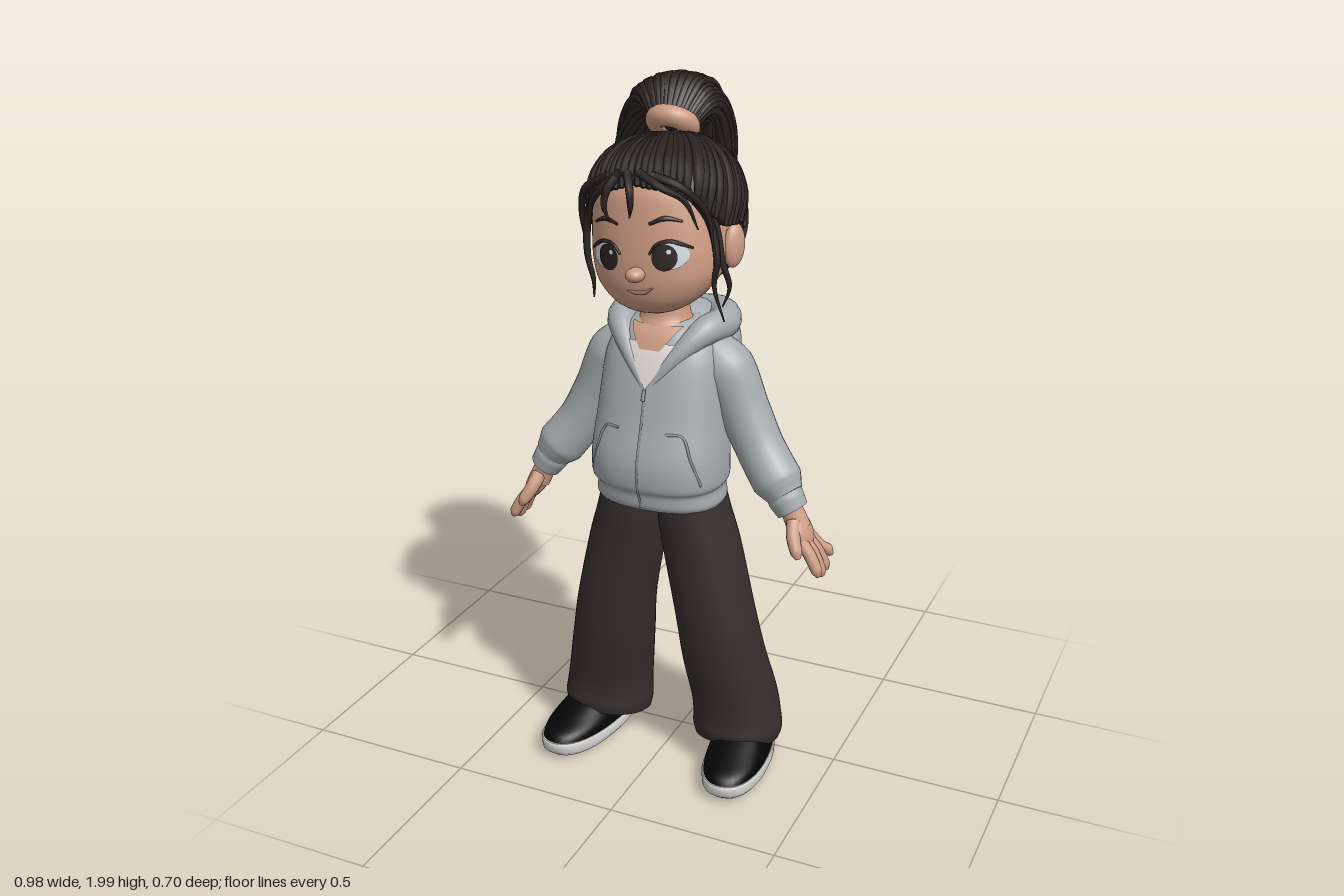
import * as THREE from 'three';

const mat = (name, color, side = THREE.FrontSide) => {
  const m = new THREE.MeshStandardMaterial({ color, side });
  m.name = name;
  return m;
};
const V = (x, y, z) => new THREE.Vector3(x, y, z);
const lerp = THREE.MathUtils.lerp;

// Grid surface from rows of points; outside is (along row) x (across rows).
function surface(rows, closed = false, caps = false) {
  const n = rows[0].length, pos = [], idx = [];
  rows.forEach(r => r.forEach(p => pos.push(p.x, p.y, p.z)));
  const m = closed ? n : n - 1;
  for (let j = 0; j < rows.length - 1; j++) for (let i = 0; i < m; i++) {
    const a = j * n + i, b = j * n + (i + 1) % n, c = a + n, d = b + n;
    idx.push(a, b, c, b, d, c);
  }
  if (caps) [rows[0], rows[rows.length - 1]].forEach((r, k) => {
    const o = pos.length / 3, mid = V(0, 0, 0);
    r.forEach(p => { pos.push(p.x, p.y, p.z); mid.addScaledVector(p, 1 / n); });
    pos.push(mid.x, mid.y, mid.z);
    for (let i = 0; i < n; i++) {
      const a = o + i, b = o + (i + 1) % n;
      idx.push(o + n, k ? a : b, k ? b : a);
    }
  });
  const g = new THREE.BufferGeometry();
  g.setAttribute('position', new THREE.Float32BufferAttribute(pos, 3));
  g.setIndex(idx);
  g.computeVertexNormals();
  return g;
}

// Smoothly resample a list of number rows.
function smooth(rows, sub = 5) {
  const out = [], at = i => rows[Math.max(0, Math.min(rows.length - 1, i))];
  for (let i = 0; i < rows.length - 1; i++) for (let k = 0; k < sub; k++) {
    const t = k / sub;
    out.push(at(i).map((b, q) => {
      const a = at(i - 1)[q], c = at(i + 1)[q], d = at(i + 2)[q];
      return b + 0.5 * t * (c - a + t * (2 * a - 5 * b + 4 * c - d + t * (3 * (b - c) + d - a)));
    }));
  }
  out.push(at(rows.length - 1));
  return out;
}

// Upright loft of superellipse rings [x, y, z, rx, rz, tilt].
function loft(rings, n = 2, seg = 40) {
  const pw = v => Math.sign(v) * Math.abs(v) ** (2 / n);
  return surface(rings.map(([x, y, z, rx, rz, tilt = 0]) => Array.from({ length: seg }, (_, i) => {
    const a = -i / seg * Math.PI * 2, dz = rz * pw(Math.sin(a));
    return V(x + rx * pw(Math.cos(a)), y + dz * tilt, z + dz);
  })), true, true);
}

// Front z of a loft at x, y.
function frontZ(rings, n, x, y) {
  let i = 0;
  while (i < rings.length - 2 && rings[i + 1][1] < y) i++;
  const a = rings[i], b = rings[i + 1], t = (y - a[1]) / (b[1] - a[1]);
  const r = a.map((v, k) => lerp(v, b[k], t));
  return r[2] + r[4] * Math.max(0, 1 - Math.abs(x / r[3]) ** n) ** (1 / n);
}

// Round tube with varying radius through points.
function tube(pts, radii, seg = 8, steps = 16) {
  const curve = new THREE.CatmullRomCurve3(pts), f = curve.computeFrenetFrames(steps);
  return surface(f.tangents.map((_, j) => {
    const t = j / steps, q = t * (radii.length - 1), k = Math.min(radii.length - 2, Math.floor(q));
    const r = lerp(radii[k], radii[k + 1], q - k), p = curve.getPoint(t);
    return Array.from({ length: seg }, (_, i) => {
      const a = i / seg * Math.PI * 2;
      return p.clone().addScaledVector(f.normals[j], r * Math.cos(a)).addScaledVector(f.binormals[j], r * Math.sin(a));
    });
  }), true, true);
}

export function createModel() {
  const skin = mat('skin', 0xcd9c83), hair = mat('hair', 0x2b2322, THREE.DoubleSide), grey = mat('hoodieGrey', 0xa6abae);
  const seam = mat('seamGrey', 0x8d9295), brown = mat('trouserBrown', 0x382e2e), black = mat('shoeBlack', 0x050505);
  const sole = mat('soleWhite', 0xe2e0dd), white = mat('shirtWhite', 0xe4dcda), eyeWhite = mat('eyeWhite', 0xd5dde2), lip = mat('lip', 0xa87464);
  const model = new THREE.Group();
  const add = (parent, name, geo, m) => {
    const mesh = new THREE.Mesh(geo, m);
    mesh.name = name;
    parent.add(mesh);
    return mesh;
  };
  const ball = (parent, name, m, p, s) => {
    const b = add(parent, name, new THREE.SphereGeometry(1, 28, 20), m);
    b.position.set(...p);
    b.scale.set(...s);
    return b;
  };
  let seed = 7;
  const rnd = () => (seed = seed * 16807 % 2147483647) / 2147483647;

  // Hoodie body with a gathered hem
  const torso = smooth([[0, .85, .135, .181, .136], [0, .865, .138, .186, .142], [0, .9, .14, .182, .145], [0, .925, .145, .194, .155],
    [0, 1, .145, .194, .155], [0, 1.1, .13, .185, .141], [0, 1.2, .12, .176, .125], [0, 1.28, .105, .165, .115],
    [0, 1.34, .095, .13, .096], [0, 1.37, .09, .08, .07]]);
  add(model, 'hoodieBody', loft(torso, 2.4, 56), grey);
  const chest = (x, y, off = 0) => V(x, y, frontZ(torso, 2.4, x, y) + off);
  const patch = (name, m, y0, y1, width, off) => add(model, name, surface(Array.from({ length: 13 }, (_, j) => {
    const y = lerp(y0, y1, j / 12), w = width(j / 12);
    return Array.from({ length: 9 }, (_, i) => chest(lerp(-w, w, i / 8), y, off));
  })), m);
  patch('shirt', white, 1.2, 1.32, t => .002 + .075 * t, .005);
  patch('neckline', skin, 1.302, 1.362, t => .03 + .045 * t, .008);
  patch('zip', seam, .86, 1.2, () => .004, .004);
  add(model, 'zipPull', tube([chest(0, 1.2, .008), chest(0, 1.17, .01)], [.005, .006], 6, 4), seam);
  add(model, 'neck', loft(smooth([[0, 1.29, .11, .085, .085], [0, 1.35, .107, .08, .078], [0, 1.39, .107, .068, .06], [0, 1.48, .11, .058, .055]])), skin);

  // Hood folded on the back, with its collar roll
  ball(model, 'hood', grey, [0, 1.278, -.002], [.172, .112, .136]);
  for (const s of [1, -1]) {
    add(model, 'hoodCollar', tube([V(0, 1.19, .24), V(s * .065, 1.28, .203), V(s * .125, 1.345, .13), V(s * .142, 1.348, .04),
      V(s * .088, 1.338, -.06), V(0, 1.328, -.085)], [.008, .022, .04, .046, .05, .05], 14, 30), grey);
    // Pocket seam
    add(model, 'pocketSeam', tube([[.07, 1.085], [.115, 1.08], [.14, 1.02], [.165, .94]].map(([x, y]) => chest(s * x, y)), [.004, .004], 6), seam);

    // Sleeve, cuff and hand
    add(model, 'sleeve', tube([V(s * .1, 1.29, .085), V(s * .165, 1.235, .08), V(s * .222, 1.12, .08), V(s * .275, 1.02, .09),
      V(s * .338, .935, .11), V(s * .37, .9, .12)], [.06, .08, .072, .069, .071, .05], 24, 30), grey);
    add(model, 'cuff', tube([V(s * .35, .918, .115), V(s * .368, .89, .118), V(s * .388, .86, .12)], [.05, .052, .046], 20), grey);
    add(model, 'wrist', tube([V(s * .37, .88, .12), V(s * .39, .85, .12), V(s * .41, .81, .122)], [.034, .032, .034], 12), skin);
    ball(model, 'palm', skin, [s * .415, .805, .122], [.028, .058, .049]).rotation.z = s * .45;
    [[.09, .058, .712], [.11, .092, .682], [.13, .126, .678], [.148, .158, .69]].forEach(([z0, z1, y]) =>
      add(model, 'finger', tube([V(s * .42, .79, z0), V(s * .455, .745, (z0 + z1) / 2), V(s * .478, y + .014, z1), V(s * .483, y, z1)],
        [.018, .018, .016, .007], 10), skin));
    add(model, 'thumb', tube([V(s * .4, .835, .14), V(s * .41, .8, .17), V(s * .428, .765, .19), V(s * .435, .75, .195)],
      [.022, .02, .017, .007], 10), skin);

    // Wide trouser leg
    add(model, 'trouserLeg', loft(smooth([[.213, .065, .07, .122, .128, .25], [.215, .1, .07, .131, .135, .2], [.212, .15, .07, .128, .132, .1],
      [.203, .22, .075, .125, .13, 0], [.18, .35, .1, .12, .126, 0], [.157, .5, .117, .113, .122, 0],
      [.117, .7, .12, .108, .122, 0], [.096, .8, .125, .098, .124, 0], [.088, .87, .13, .088, .122, 0]].map(r => [r[0] * s, ...r.slice(1)])), 2.2), brown);

    // Shoe with an upswept toe
    const shoe = new THREE.Group();
    shoe.name = 'shoe';
    shoe.position.set(s * .25, 0, .146);
    shoe.rotation.y = s * .12;
    model.add(shoe);
    add(shoe, 'sole', loft([[0, .004, -.008, .084, .19, .02], [0, .016, -.002, .092, .204, .04], [0, .042, 0, .093, .207, .05], [0, .048, 0, .09, .203, .05]], 2.3), sole);
    add(shoe, 'shoeUpper', loft(smooth([[0, .045, 0, .088, .2, .05], [0, .072, -.008, .086, .186, .03], [0, .1, -.035, .075, .145, 0],
      [0, .125, -.065, .06, .1, 0], [0, .135, -.07, .04, .08, 0]]), 2.3), black);
  }

  // Head, tilted slightly
  const tilt = new THREE.Group(), head = new THREE.Group();
  tilt.name = 'head';
  tilt.position.set(0, 1.55, 0);
  tilt.rotation.z = .1;
  head.position.y = -1.55;
  tilt.add(head);
  model.add(tilt);
  const skull = smooth([[0, 1.405, .19, .025, .02], [0, 1.42, .185, .078, .062], [0, 1.45, .17, .128, .108], [0, 1.5, .15, .17, .143],
    [0, 1.55, .135, .184, .16], [0, 1.6, .13, .184, .163], [0, 1.68, .12, .178, .165], [0, 1.75, .11, .165, .16],
    [0, 1.8, .1, .12, .12], [0, 1.84, .1, .04, .04]]);
  add(head, 'face', loft(skull, 2.2, 56), skin);
  const face = (x, y, off = 0) => V(x, y, frontZ(skull, 2.2, x, y) + off);
  const disc = (name, m, x, y, rx, ry, off) => add(head, name, surface(Array.from({ length: 6 }, (_, j) =>
    Array.from({ length: 28 }, (_, i) => {
      const a = -i / 28 * Math.PI * 2, r = Math.max(.01, j / 5);
      return face(x + rx * r * Math.cos(a), y + ry * r * Math.sin(a), off);
    })), true), m);
  ball(head, 'nose', skin, [0, 1.535, .302], [.026, .02, .03]);
  add(head, 'mouth', tube([face(-.035, 1.49), face(-.01, 1.484), face(.015, 1.485), face(.04, 1.497)], [.002, .006, .006, .002], 8), lip);
  for (const s of [1, -1]) {
    disc('eyeWhite', eyeWhite, s * .094, 1.58, .044, .035, .004);
    disc('iris', hair, s * .081, 1.578, .032, .035, .007);
    disc('eyeGlint', eyeWhite, s * .081 + .013, 1.593, .006, .006, .009);
    add(head, 'eyelid', tube([[.042, 1.588], [.062, 1.612], [.095, 1.619], [.125, 1.606], [.145, 1.594]].map(([x, y]) => face(s * x, y, .003)),
      [.003, .005, .006, .003], 6), hair);
    add(head, 'eyebrow', tube([[.045, 1.665], [.085, 1.677], [.125, 1.665]].map(([x, y]) => face(s * x, y, .001)), [.004, .007, .003], 6), hair);
    ball(head, 'ear', skin, [s * .195, 1.565, .095], [.022, .06, .036]).rotation.set(-.15, s * -.35, s * -.12);
  }

  // Hair cap with an edge that frames the face and ears
  const C = V(.005, 1.65, .09), R = V(.207, .205, .207), P = 2.5;
  const edge = th => {
    const d = Math.abs(th) * 180 / Math.PI, k = [[0, 1.765], [35, 1.74], [72, 1.63], [103, 1.62], [113, 1.47], [181, 1.455]];
    const i = k.findIndex(e => e[0] > d);
    return lerp(k[i - 1][1], k[i][1], (d - k[i - 1][0]) / (k[i][0] - k[i - 1][0]));
  };
  const scalp = (th, ny, q = 1) => {
    const h = q * Math.max(0, 1 - Math.abs(ny) ** P) ** (1 / P);
    return V(C.x + R.x * h * Math.sin(th), C.y + R.y * ny, C.z + R.z * h * Math.cos(th));
  };
  add(head, 'hairCap', surface(Array.from({ length: 20 }, (_, j) => Array.from({ length: 72 }, (_, i) => {
    const th = (i / 72 * 2 - 1) * Math.PI, e = (edge(th) - C.y) / R.y;
    return scalp(th, Math.sin(lerp(Math.asin(e), Math.PI / 2, Math.max(0, j - 1) / 18)), j ? 1 : .8);
  })), true), hair);

  // Locks combed from the hairline to the hair tie
  const tie = V(0, 1.865, -.02);
  for (let i = 0; i < 64; i++) {
    const th = ((i + rnd() * .7) / 64 * 2 - 1) * Math.PI, start = scalp(th, (edge(th) - C.y) / R.y), thick = .01 + rnd() * .008;
    const pts = [0, .15, .3, .45, .6, .75, .9].map(t => {
      const d = start.clone().lerp(tie, t).sub(C).divide(R);
      const k = (Math.hypot(d.x, d.z) ** P + Math.abs(d.y) ** P) ** (1 / P);
      return d.divideScalar(k).multiply(R).add(C);
    });
    add(head, 'combedLock', tube(pts, [.006, thick, thick, .012, .008], 7, 18), hair);
  }

  // Loose locks around the face
  [[[-.02, 1.8, .285], [-.07, 1.765, .3], [-.12, 1.71, .285], [-.135, 1.65, .27]],
    [[-.03, 1.79, .295], [-.05, 1.76, .315], [-.06, 1.72, .32], [-.055, 1.68, .31]],
    [[0, 1.8, .29], [.02, 1.76, .325], [.02, 1.72, .33], [.01, 1.69, .32]],
    [[.03, 1.8, .285], [.09, 1.765, .295], [.14, 1.72, .26], [.16, 1.64, .235]],
    [[.06, 1.79, .275], [.13, 1.76, .265], [.178, 1.68, .215], [.185, 1.58, .205]],
    [[.12, 1.76, .24], [.175, 1.66, .2], [.19, 1.55, .2], [.175, 1.48, .2], [.195, 1.385, .2]],
    [[.13, 1.75, .23], [.18, 1.65, .18], [.195, 1.54, .18], [.205, 1.47, .17], [.185, 1.42, .18]],
    [[-.12, 1.76, .24], [-.178, 1.66, .2], [-.19, 1.56, .2], [-.18, 1.49, .2], [-.19, 1.44, .19]],
    [[-.06, 1.79, .275], [-.14, 1.755, .26], [-.185, 1.68, .215], [-.195, 1.6, .195]]
  ].forEach(l => add(head, 'looseLock', tube(l.map(p => V(...p)), [.012, .011, .008, .002], 7, 20), hair));

  // Hair tie
  const band = add(model, 'hairTie', new THREE.TorusGeometry(.046, .03, 14, 32), skin);
  band.position.set(-.032, 1.872, -.008);
  band.rotation.x = .93;

  // Ponytail: stations [x, y, z, width, depth, outward y, outward z]; its right side swings forward
  const tail = [[-.03, 1.86, -.01, .045, .045, .7, .7], [-.055, 1.915, -.1, .11, .07, 1, 0], [-.1, 1.83, -.205, .155, .12, .6, -.8],
    [-.115, 1.72, -.235, .165, .1, .1, -1], [-.14, 1.55, -.23, .158, .09, 0, -1], [-.16, 1.4, -.25, .135, .075, 0, -1],
    [-.175, 1.24, -.26, .105, .045, 0, -1]];
  const tailPoint = ([x, y, z, w, d, ny, nz], a, r) => {
    const u = w * r * Math.cos(a), v = d * r * Math.sin(a);
    return V(x + u, y + v * ny, z + v * nz + Math.max(0, -u) * .35);
  };
  add(model, 'ponytailCore', surface(smooth(tail, 4).slice(0, -4).map(s =>
    Array.from({ length: 28 }, (_, i) => tailPoint(s, i / 28 * Math.PI * 2, .88))), true, true), hair);
  for (let i = 0; i < 90; i++) {
    const a = i / 90 * Math.PI * 2, r = .88 + rnd() * .13 + (i % 13 ? 0 : .08), len = rnd(), thick = .01 + rnd() * .008;
    const pts = tail.map((s, k) => {
      const p = tailPoint(s, a + (k > 1 ? (rnd() - .5) * .22 : 0), k > 4 ? r * (.78 + rnd() * .38) : r);
      if (k === 6) p.y += len * .14 - .04;
      return p;
    });
    add(model, 'ponytailLock', tube(pts, [.008, .011, thick, thick, thick, .01, .002], 6, 36), hair);
  }
  return model;
}
